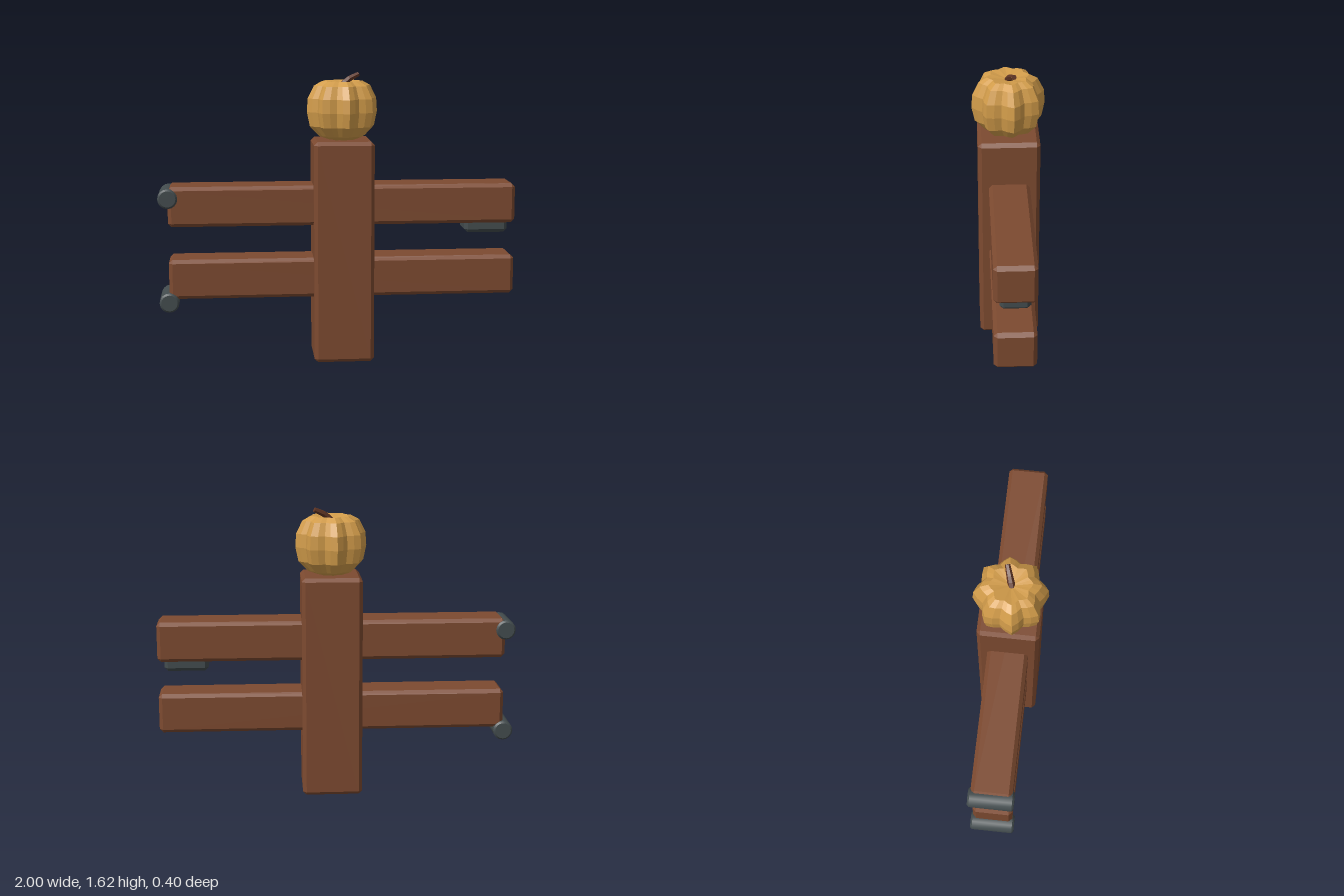
import * as THREE from 'three';
import { toCreasedNormals } from 'three/addons/utils/BufferGeometryUtils.js';
import { ConvexGeometry } from 'three/addons/geometries/ConvexGeometry.js';

const material = (name, color) => {
  const m = new THREE.MeshStandardMaterial({ color });
  m.name = name;
  return m;
};

// Box with flat bevels on every edge, given by its two corners
function beveledBox([x0, y0, z0], [x1, y1, z1], c) {
  const half = [(x1 - x0) / 2, (y1 - y0) / 2, (z1 - z0) / 2];
  const points = [];
  for (const sx of [-1, 1]) for (const sy of [-1, 1]) for (const sz of [-1, 1]) {
    for (let face = 0; face < 3; face++) {
      const h = half.map((v, i) => (i === face ? v : v - c));
      points.push(new THREE.Vector3(h[0] * sx, h[1] * sy, h[2] * sz));
    }
  }
  return new ConvexGeometry(points).translate((x0 + x1) / 2, (y0 + y1) / 2, (z0 + z1) / 2);
}

// Ribbed gourd: a lathe whose radius swells into eight lobes
function pumpkinGeometry() {
  const turn = 0.13;
  const profile = [
    [0, 1.245], [0.06, 1.24], [0.13, 1.265], [0.183, 1.32], [0.2, 1.4],
    [0.195, 1.475], [0.16, 1.545], [0.115, 1.57], [0.085, 1.565], [0, 1.55],
  ].map(([r, y]) => new THREE.Vector2(r, y));
  const lathe = new THREE.LatheGeometry(profile, 32, turn);
  const pos = lathe.attributes.position;
  for (let i = 0; i < pos.count; i++) {
    const x = pos.getX(i), z = pos.getZ(i);
    const lobe = Math.cos(8 * (Math.atan2(x, z) - turn));
    const s = 0.91 + 0.09 * lobe;
    pos.setX(i, x * s);
    pos.setZ(i, z * s);
  }
  const flat = lathe.toNonIndexed();
  flat.computeVertexNormals();
  return flat;
}

// Bent stem, thinner toward the tip
function stemGeometry() {
  const path = new THREE.CatmullRomCurve3([
    new THREE.Vector3(0.025, 1.54, 0.005),
    new THREE.Vector3(0.06, 1.575, -0.008),
    new THREE.Vector3(0.12, 1.605, -0.028),
  ]);
  const rings = 4, sides = 6;
  const tube = new THREE.TubeGeometry(path, rings, 1, sides);
  const pos = tube.attributes.position;
  const v = new THREE.Vector3();
  for (let i = 0; i < pos.count; i++) {
    const t = Math.floor(i / (sides + 1)) / rings;
    const centre = path.getPointAt(t);
    v.fromBufferAttribute(pos, i).sub(centre).multiplyScalar(0.021 - 0.007 * t).add(centre);
    pos.setXYZ(i, v.x, v.y, v.z);
  }
  // Rebuild as a closed hull-like solid by capping the tip
  const flat = tube.toNonIndexed();
  flat.computeVertexNormals();
  const tip = path.getPointAt(1);
  const cap = new THREE.CircleGeometry(0.014, sides);
  cap.lookAt(path.getTangentAt(1)).translate(tip.x, tip.y, tip.z);
  return [flat, cap];
}

export function createModel() {
  const wood = material('wood', 0x7d4a30);
  const iron = material('iron', 0x434c4e);
  const gourd = material('gourd', 0xd29c4a);
  const bark = material('bark', 0x603524);

  const model = new THREE.Group();
  model.name = 'pumpkinSignpost';
  const add = (name, geometry, mat) => {
    const mesh = new THREE.Mesh(geometry, mat);
    mesh.name = name;
    model.add(mesh);
    return mesh;
  };

  // Upright post and the two crossing beams
  add('post', beveledBox([-0.14, 0, -0.168], [0.195, 1.245, 0.168], 0.02), wood);
  add('upperBeam', beveledBox([-0.945, 0.775, -0.112], [0.995, 0.998, 0.112], 0.02), wood);
  add('lowerBeam', beveledBox([-0.945, 0.368, -0.112], [0.995, 0.59, 0.112], 0.02), wood);

  // Hinge barrels across the beam ends
  const barrel = toCreasedNormals(new THREE.LatheGeometry([
    [0, -0.124], [0.045, -0.124], [0.055, -0.114],
    [0.055, 0.114], [0.045, 0.124], [0, 0.124],
  ].map(([r, y]) => new THREE.Vector2(r, y)), 16), 0.5).rotateX(Math.PI / 2);
  for (const [name, y] of [['upperBarrel', 0.935], ['lowerBarrel', 0.35]]) {
    add(name, barrel, iron).position.set(-0.945, y, 0);
  }

  // Iron block under the free end of the upper beam
  add('latchBlock', beveledBox([0.715, 0.715, -0.08], [0.96, 0.81, 0.08], 0.02), iron);

  // Pumpkin on top
  add('pumpkin', pumpkinGeometry().translate(0.027, 0, 0), gourd);
  const [stem, tip] = stemGeometry();
  add('stem', stem, bark);
  add('stemTip', tip, bark);
  return model;
}
